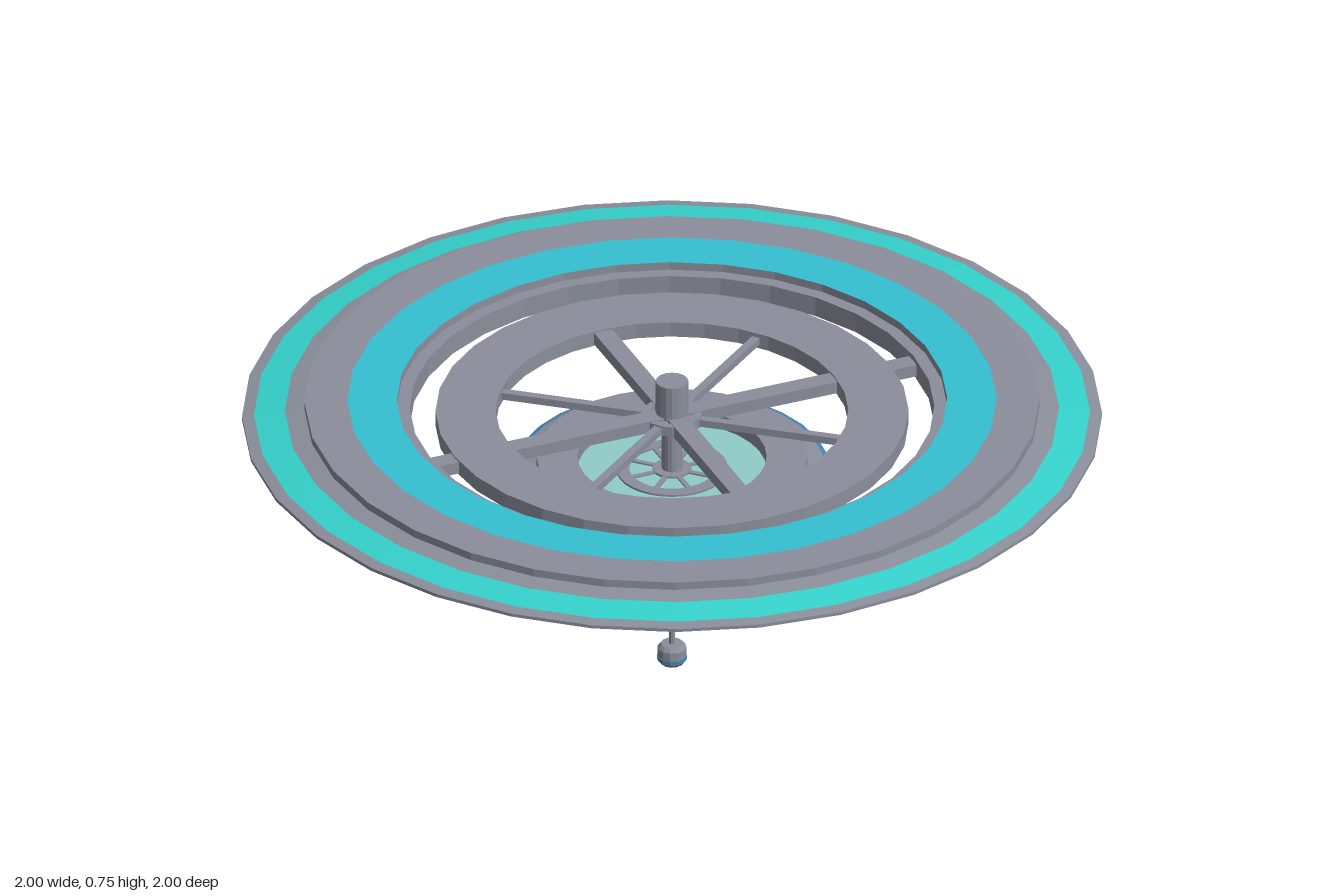
import * as THREE from 'three';

const mat = (name, color) => {
  const m = new THREE.MeshStandardMaterial({ color });
  m.name = name;
  return m;
};

export function createModel() {
  const model = new THREE.Group();
  model.name = 'ringStation';
  const hull = mat('hullGrey', 0x8b8f9b);
  const teal = mat('outerTeal', 0x35d2cc);
  const cyan = mat('gardenCyan', 0x35c0d2);
  const pale = mat('paleGlass', 0x90cdc7);
  const blue = mat('windowBlue', 0x3f86b4);

  const add = (name, geometry, material, parent = model) => {
    const mesh = new THREE.Mesh(geometry, material);
    mesh.name = name;
    parent.add(mesh);
    return mesh;
  };

  // Faceted solid of revolution; profile runs outward below, inward above
  const turn = (name, profile, material, sides = 32) => {
    const points = profile.map(([r, y]) => new THREE.Vector2(r, y));
    const g = new THREE.LatheGeometry(points, sides).toNonIndexed();
    g.computeVertexNormals();
    return add(name, g, material);
  };
  const ring = (name, r0, r1, y0, y1, material, sides) =>
    turn(name, [[r0, y0], [r1, y0], [r1, y1], [r0, y1], [r0, y0]], material, sides);
  const drum = (name, r, y0, y1, material, sides = 16) =>
    turn(name, [[0, y0], [r, y0], [r, y1], [0, y1]], material, sides);

  // Main habitat ring with a cyan band on its roof
  turn('mainRing', [[0.755, 0.705], [0.64, 0.62], [0.855, 0.62], [0.855, 0.705], [0.755, 0.705]].slice(1), hull);
  turn('mainRingRoofBand', [[0.755, 0.705], [0.64, 0.705]], cyan);
  turn('mainRingInnerWall', [[0.64, 0.705], [0.64, 0.62]], hull);
  ring('innerCollar', 0.61, 0.64, 0.635, 0.685, hull);

  // Tapered outer flange, teal bands on both sides
  const flangeY = 0.66;
  const half = r => 0.004 + (1 - r) * 0.15;
  for (const [r0, r1, material, name] of [
    [0.85, 0.9, hull, 'flangeRoot'],
    [0.9, 0.972, teal, 'flangeBand'],
    [0.972, 1, hull, 'flangeRim']]) {
    turn(name + 'Lower', [[r0, flangeY - half(r0)], [r1, flangeY - half(r1)]], material);
    turn(name + 'Upper', [[r1, flangeY + half(r1)], [r0, flangeY + half(r0)]], material);
  }
  turn('flangeEdge', [[1, flangeY - half(1)], [1, flangeY + half(1)]], hull);

  // Inner wheel and its spokes
  ring('innerWheel', 0.41, 0.55, 0.638, 0.676, hull);
  add('crossBeam', new THREE.BoxGeometry(1.24, 0.03, 0.046), hull).position.y = 0.657;
  add('longBeam', new THREE.BoxGeometry(0.046, 0.03, 0.84), hull).position.y = 0.657;
  for (const s of [-1, 1]) {
    const spoke = add('diagonalSpoke', new THREE.BoxGeometry(0.84, 0.018, 0.02), hull);
    spoke.position.y = 0.657;
    spoke.rotation.y = s * 0.67;
  }

  // Central hub and shaft
  drum('hub', 0.038, 0.63, 0.755, hull);
  drum('shaft', 0.024, 0.5, 0.64, hull);
  ring('hubRing', 0.052, 0.07, 0.645, 0.67, hull, 16);

  // Lower saucer with glazed floor
  ring('saucerBody', 0.22, 0.315, 0.488, 0.553, hull);
  turn('saucerFlange', [[0.31, 0.497], [0.355, 0.507], [0.355, 0.523], [0.31, 0.533]], hull);
  turn('saucerRim', [[0.355, 0.507], [0.367, 0.511], [0.367, 0.519], [0.355, 0.523]], blue);
  drum('saucerGlass', 0.222, 0.508, 0.518, pale, 32);
  ring('glassRing', 0.1, 0.13, 0.503, 0.523, hull);
  ring('glassHub', 0.024, 0.045, 0.503, 0.523, hull, 16);
  for (let i = 0; i < 4; i++) {
    const strut = add('glassStrut', new THREE.BoxGeometry(0.22, 0.012, 0.012), hull);
    strut.position.y = 0.516;
    strut.rotation.y = (i * Math.PI) / 4;
  }

  // Stem, small collar plate and bottom pod
  drum('stem', 0.007, 0.04, 0.51, hull, 8);
  drum('stemPlate', 0.034, 0.397, 0.403, hull);
  turn('pod', [[0, 0], [0.026, 0], [0.034, 0.01], [0.034, 0.042], [0.026, 0.052], [0, 0.052]], hull, 12);
  ring('podWindowBand', 0.03, 0.0355, 0.012, 0.02, blue, 12);

  return model;
}
